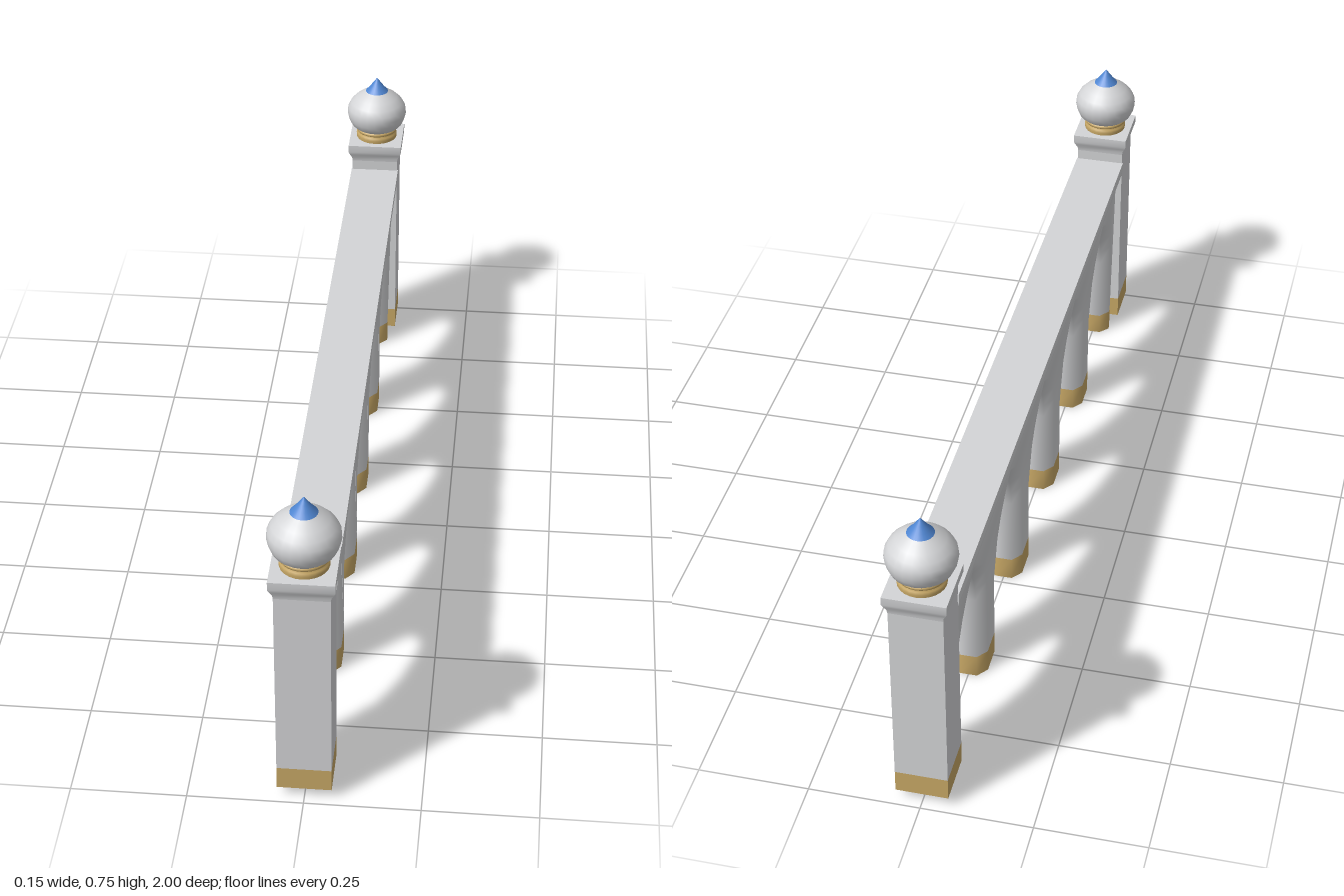
import * as THREE from 'three';
import { toCreasedNormals } from 'three/addons/utils/BufferGeometryUtils.js';

const material = (name, color) => {
  const m = new THREE.MeshStandardMaterial({ color, side: THREE.DoubleSide });
  m.name = name;
  return m;
};

// Stack of rings of one closed plan: each ring is { y, points: [[x, z], ...] }
function loft(rings, capTop = false) {
  const pos = [];
  const n = rings[0].points.length;
  const put = (r, i) => {
    const [x, z] = r.points[i % n];
    pos.push(x, r.y, z);
  };
  for (let k = 0; k + 1 < rings.length; k++) {
    const a = rings[k], b = rings[k + 1];
    for (let i = 0; i < n; i++) {
      put(a, i); put(a, i + 1); put(b, i + 1);
      put(a, i); put(b, i + 1); put(b, i);
    }
  }
  if (capTop) {
    const t = rings[rings.length - 1];
    for (let i = 1; i + 1 < n; i++) { put(t, 0); put(t, i); put(t, i + 1); }
  }
  const g = new THREE.BufferGeometry();
  g.setAttribute('position', new THREE.Float32BufferAttribute(pos, 3));
  return toCreasedNormals(g, 0.9);
}

// Plans run so that faces point outward
const rect = (hx, hz) => [[-hx, hz], [hx, hz], [hx, -hz], [-hx, -hz]];
const chamfered = (hx, hz, cx, cz) => [
  [-hx + cx, hz], [hx - cx, hz], [hx, hz - cz], [hx, -hz + cz],
  [hx - cx, -hz], [-hx + cx, -hz], [-hx, -hz + cz], [-hx, hz - cz],
];
const squareStack = (levels, cap) =>
  loft(levels.map(([h, y]) => ({ y, points: rect(h, h) })), cap);
const lathe = (pts) =>
  new THREE.LatheGeometry(pts.map(([r, y]) => new THREE.Vector2(r, y)), 24);

const BASE = 0.057, WALL_TOP = 0.468, PITCH = 0.345, END = 0.868;
const ARCH = [[0.115, 0.23], [0.108, 0.268], [0.094, 0.308], [0.07, 0.345], [0.038, 0.375], [0, 0.4]];

// Wall outline with five pointed arches, bevelled along every edge
function arcadeGeometry() {
  const s = new THREE.Shape();
  s.moveTo(-END, BASE);
  for (let k = -2; k <= 2; k++) {
    const c = k * PITCH;
    s.lineTo(c - 0.115, BASE);
    ARCH.forEach(([d, y]) => s.lineTo(c - d, y));
    ARCH.slice(0, -1).reverse().forEach(([d, y]) => s.lineTo(c + d, y));
    s.lineTo(c + 0.115, BASE);
  }
  s.lineTo(END, BASE);
  s.lineTo(END, WALL_TOP);
  for (let k = 4; k >= -4; k--) s.lineTo(k * PITCH / 2, WALL_TOP);
  s.lineTo(-END, WALL_TOP);
  s.closePath();
  const g = new THREE.ExtrudeGeometry(s, {
    depth: 0.04, bevelThickness: 0.02, bevelSize: 0.025, bevelOffset: -0.025, bevelSegments: 1,
  });
  g.translate(0, 0, -0.02);
  // Keep top and bottom level, and flare the wall slightly towards the coping
  const p = g.attributes.position;
  for (let i = 0; i < p.count; i++) {
    let y = p.getY(i);
    if (y < 0.1) y = BASE;
    if (y > 0.436) y = WALL_TOP;
    p.setY(i, y);
    p.setZ(i, p.getZ(i) * (1 + 0.2 * Math.max(0, (y - 0.23) / (WALL_TOP - 0.23))));
  }
  g.rotateY(Math.PI / 2);
  return toCreasedNormals(g, 1.0);
}

export function createModel() {
  const stone = material('paleStone', 0xd4d5d7);
  const gold = material('gold', 0xc8a866);
  const blue = material('blue', 0x4f86d2);
  const model = new THREE.Group();
  model.name = 'arcadeBridge';
  const add = (parent, name, geometry, mat) => {
    const m = new THREE.Mesh(geometry, mat);
    m.name = name;
    parent.add(m);
    return m;
  };

  add(model, 'arcadeWall', arcadeGeometry(), stone);

  // Coping along the top of the wall
  const coping = [[0.05, 0.463], [0.058, 0.472], [0.061, 0.488], [0.061, 0.51]];
  add(model, 'coping', loft(coping.map(([h, y]) => ({ y, points: rect(h, END) })), true), stone);

  // Gold feet under the arch legs
  const foot = (z, hz) => {
    const points = chamfered(0.04, hz, 0.02, Math.min(0.025, hz * 0.8));
    add(model, 'legFoot', loft([{ y: 0, points }, { y: BASE, points }]), gold).position.z = z;
  };
  for (const k of [-1.5, -0.5, 0.5, 1.5]) foot(k * PITCH, 0.0575);
  for (const side of [-1, 1]) foot(side * 0.837, 0.0275);

  // End towers
  const footGeo = squareStack([[0.0585, 0.025], [0.0585, 0.079]]);
  const shaftGeo = squareStack([[0.0585, 0.079], [0.0585, 0.54]]);
  const capGeo = squareStack(
    [[0.0585, 0.535], [0.06, 0.545], [0.065, 0.555], [0.0685, 0.564], [0.0685, 0.583]], true);
  const collarGeo = lathe([[0.052, 0.582], [0.053, 0.59], [0.052, 0.597], [0.047, 0.6], [0.047, 0.614]]);
  const domeGeo = lathe([[0.044, 0.612], [0.057, 0.614], [0.066, 0.622], [0.073, 0.637], [0.0765, 0.653],
    [0.075, 0.668], [0.067, 0.683], [0.053, 0.697], [0.038, 0.707], [0.029, 0.713]]);
  const tipGeo = lathe([[0.029, 0.713], [0.02, 0.723], [0.011, 0.735], [0, 0.75]]);
  const ropeGeo = new THREE.TorusGeometry(0.0475, 0.0055, 8, 32).rotateX(Math.PI / 2);
  for (const side of [-1, 1]) {
    const tower = new THREE.Group();
    tower.name = side > 0 ? 'frontTower' : 'backTower';
    tower.position.z = side * 0.9235;
    add(tower, 'towerFoot', footGeo, gold);
    add(tower, 'towerShaft', shaftGeo, stone);
    add(tower, 'towerCap', capGeo, stone);
    add(tower, 'domeCollar', collarGeo, gold);
    add(tower, 'ropeRing', ropeGeo, gold).position.y = 0.606;
    add(tower, 'onionDome', domeGeo, stone);
    add(tower, 'domeTip', tipGeo, blue);
    model.add(tower);
  }
  return model;
}
